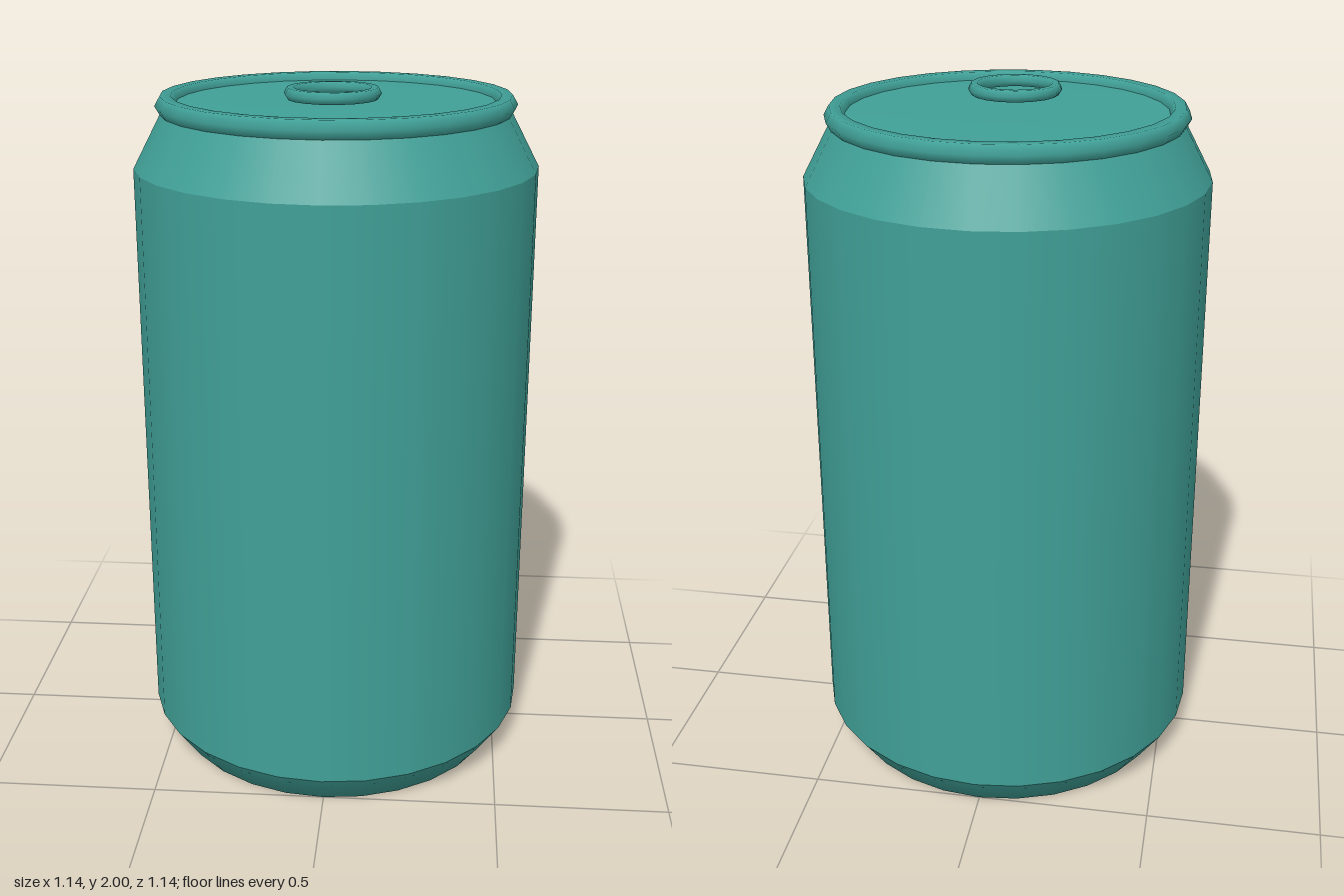
import * as THREE from 'three';

const SIDES = 28;

export function createModel() {
  const can = new THREE.Group();
  can.name = 'drinkCan';
  const teal = new THREE.MeshStandardMaterial({ color: 0x40a097 });
  teal.name = 'teal';

  const add = (name, geometry, y = 0, z = 0) => {
    const mesh = new THREE.Mesh(geometry, teal);
    mesh.name = name;
    mesh.position.set(0, y, z);
    can.add(mesh);
  };
  // Profiles run upward as [radius, height]
  const lathe = (points) =>
    new THREE.LatheGeometry(points.map(([r, y]) => new THREE.Vector2(r, y)), SIDES);
  // Ring lying flat
  const ring = (radius, tube, sides) =>
    new THREE.TorusGeometry(radius, tube, 6, sides).rotateX(-Math.PI / 2);

  // Flat underside rounding into the lower bevel
  add('base', lathe([[0, 0], [0.5, 0], [0.57, 0.1]]));
  // Straight wall, with a hard edge at both ends
  add('body', lathe([[0.57, 0.1], [0.57, 1.77]]));
  // Tapered neck up to the rim
  add('neck', lathe([[0.57, 1.77], [0.49, 1.92]]));
  // Lid inside the rim
  add('lid', lathe([[0.48, 1.93], [0.46, 1.945], [0, 1.945]]));
  // Rolled rim and pull ring
  add('rim', ring(0.475, 0.03, SIDES), 1.941);
  add('pullRing', ring(0.115, 0.018, 18), 1.984, 0.122);

  return can;
}
